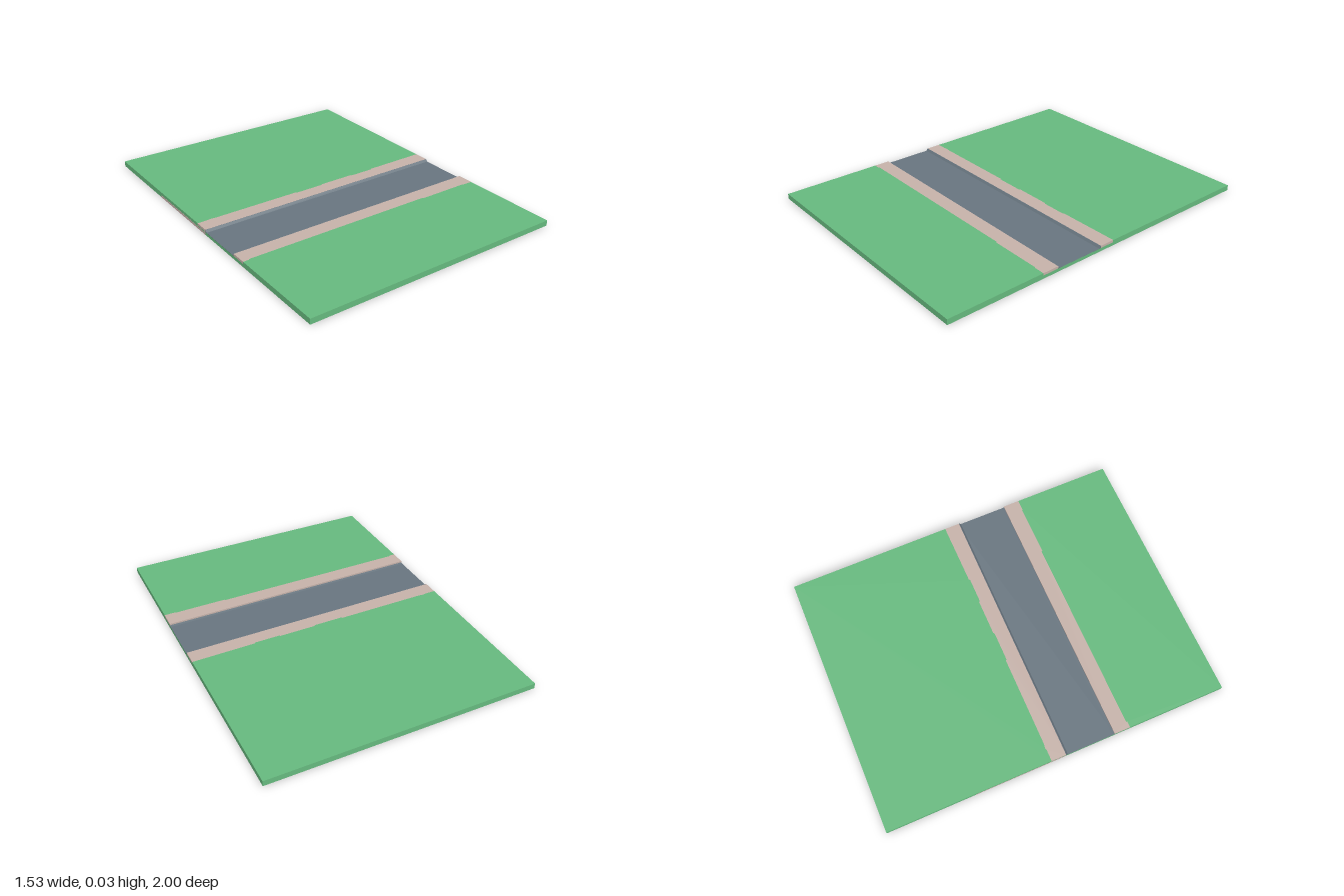
import * as THREE from 'three';

const HALF = 0.765, ROAD_Y = 0.0195, TOP = 0.032;

const mat = (name, color) => Object.assign(new THREE.MeshStandardMaterial({ color }), { name });

// Horizontal slab from an outline of [x, z] corners
function slab(points, y0, y1) {
  const shape = new THREE.Shape(points.map(([x, z]) => new THREE.Vector2(x, -z)));
  const geo = new THREE.ExtrudeGeometry(shape, { depth: y1 - y0, bevelEnabled: false });
  return geo.rotateX(-Math.PI / 2).translate(0, y0, 0);
}

// Long strip across the tile from a profile of [z, y] corners
function strip(profile) {
  const shape = new THREE.Shape(profile.map(([z, y]) => new THREE.Vector2(z, y)));
  const geo = new THREE.ExtrudeGeometry(shape, { depth: HALF * 2, bevelEnabled: false });
  return geo.rotateY(-Math.PI / 2).translate(HALF, 0, 0);
}

export function createModel() {
  const group = new THREE.Group();
  const grass = mat('grass green', 0x66b97e);
  const stone = mat('pavement beige', 0xc5b1a9);
  const asphalt = mat('asphalt grey', 0x68757f);
  const add = (name, geo, material) => {
    const mesh = new THREE.Mesh(geo, material);
    mesh.name = name;
    group.add(mesh);
  };

  // Base under the whole tile
  add('base', slab([[-HALF, -1], [HALF, -1], [HALF, 1], [-HALF, 1]], 0.0005, 0.019), grass);

  // Slightly uneven borders between lawn and pavement, left to right
  const backEdge = [
    [-HALF, -0.045], [-0.7, -0.045], [-0.69, -0.049], [-0.66, -0.045], [-0.14, -0.045],
    [-0.14, -0.039], [0.03, -0.039], [0.04, -0.045], [0.25, -0.045], [0.25, -0.039],
    [0.4, -0.039], [0.4, -0.045], [HALF, -0.048],
  ];
  const frontEdge = [
    [-HALF, 0.427], [-0.73, 0.427], [-0.73, 0.421], [0.4, 0.421], [0.4, 0.427],
    [0.7, 0.427], [0.7, 0.431], [HALF, 0.431],
  ];

  // Lawns
  add('backLawn', slab([...backEdge, [HALF, -1], [-HALF, -1]], 0.019, TOP), grass);
  add('frontLawn', slab([...frontEdge, [HALF, 1], [-HALF, 1]], 0.019, TOP), grass);

  // Pavements
  add('backPavement', slab([...backEdge, [HALF, 0.041], [-HALF, 0.041]], 0.019, TOP), stone);
  add('frontPavement', slab([...frontEdge, [HALF, 0.335], [-HALF, 0.335]], 0.019, TOP), stone);

  // Sunken road with its kerbs
  add('road', slab([[-HALF, 0.041], [HALF, 0.041], [HALF, 0.335], [-HALF, 0.335]], 0.018, ROAD_Y), asphalt);
  add('backKerb', strip([[0.041, ROAD_Y], [0.053, ROAD_Y], [0.043, TOP], [0.041, TOP]]), asphalt);
  add('frontKerb', strip([[0.322, ROAD_Y], [0.335, ROAD_Y], [0.335, 0.023]]), asphalt);

  // Exposed stone patch below the tile and along its side
  add('undersidePatch', slab([
    [-HALF, -0.48], [-0.605, -0.48], [-0.57, -0.27], [-0.64, -0.25], [-0.655, -0.01], [-HALF, 0.02],
  ], 0, 0.001), stone);
  const side = new THREE.BoxGeometry(0.001, 0.014, 0.53).translate(-HALF, 0.007, -0.225);
  add('sidePatch', side, stone);

  return group;
}
